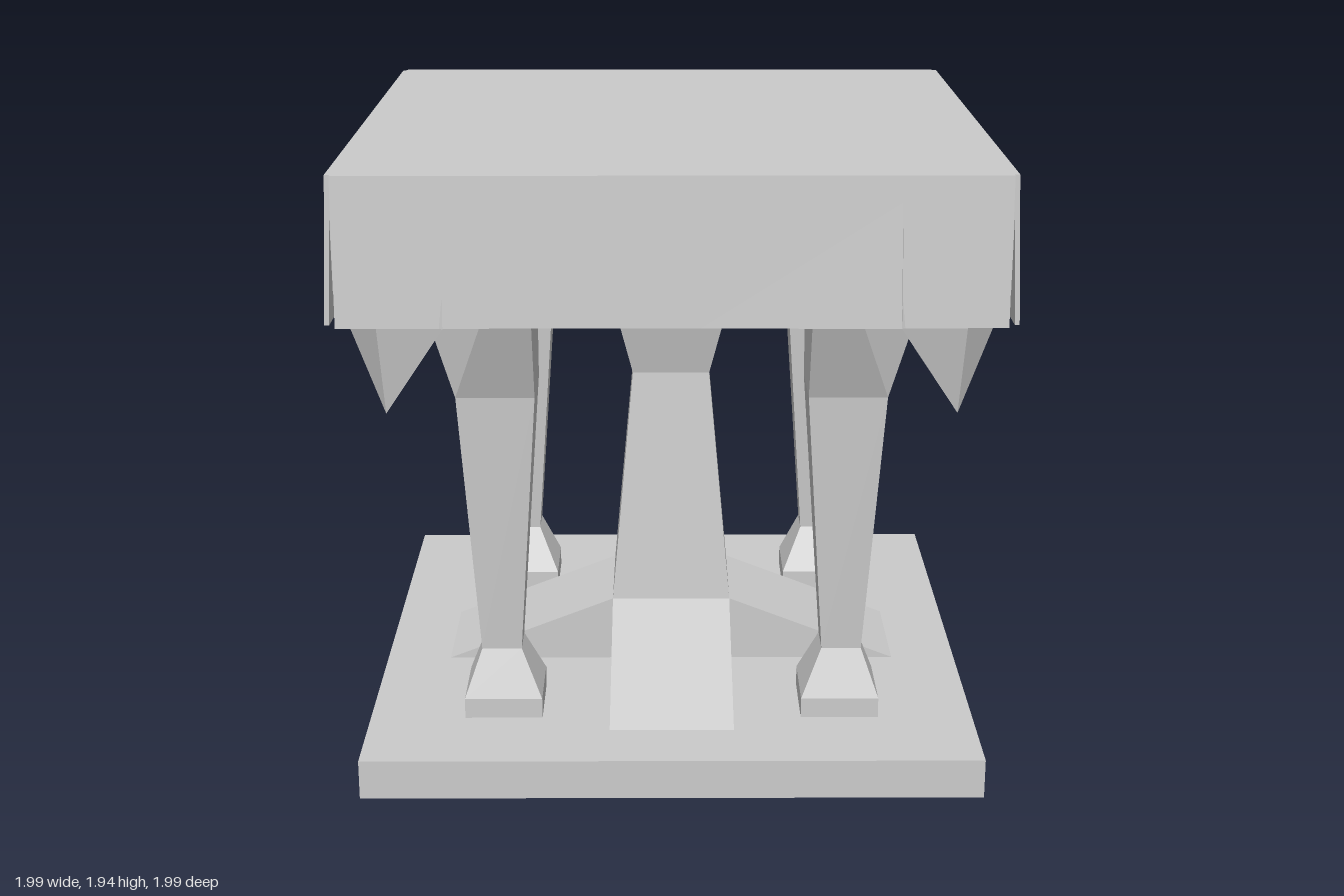
import * as THREE from 'three';

const material = new THREE.MeshStandardMaterial({ color: 0xcccccc, flatShading: true, side: THREE.DoubleSide });

function addPart(parent, name, geometry) {
  const mesh = new THREE.Mesh(geometry, material);
  mesh.name = name;
  parent.add(mesh);
  return mesh;
}

function box(width, y0, y1) {
  return new THREE.BoxGeometry(width, y1 - y0, width).translate(0, (y0 + y1) / 2, 0);
}

function fromTriangles(points) {
  const geometry = new THREE.BufferGeometry();
  geometry.setAttribute('position', new THREE.Float32BufferAttribute(points.flat(), 3));
  geometry.computeVertexNormals();
  return geometry;
}

// Walls between stacked rings of [x, z] points; skips zero-length sides
function loft(sections) {
  const tris = [];
  for (let s = 0; s < sections.length - 1; s++) {
    const [lo, hi] = [sections[s], sections[s + 1]].map(({ y, ring }) => ring.map(([x, z]) => [x, y, z]));
    for (let i = 0; i < lo.length; i++) {
      const j = (i + 1) % lo.length;
      const same = (p, q) => p[0] === q[0] && p[2] === q[2];
      if (!same(lo[i], lo[j])) tris.push(lo[i], lo[j], hi[j]);
      if (!same(hi[i], hi[j])) tris.push(lo[i], hi[j], hi[i]);
    }
  }
  return fromTriangles(tris);
}

const square = (r) => [[r, r], [r, -r], [-r, -r], [-r, r]];

// Leg section: inner edge, outer edge, and where the outer corner is cut
const legRing = (inner, outer, cut = outer) =>
  [[cut, outer], [outer, cut], [outer, inner], [inner, inner], [inner, outer]];

function legGeometry() {
  return loft([
    { y: 0.125, ring: legRing(0.41, 0.655) },
    { y: 0.19, ring: legRing(0.41, 0.655) },
    { y: 0.34, ring: legRing(0.475, 0.6) },
    { y: 1.19, ring: legRing(0.415, 0.655) },
    { y: 1.6, ring: legRing(0.415, 0.81, 0.51) },
  ]);
}

// Sloping foot of the central column
function rampGeometry() {
  const profile = new THREE.Shape([[0.15, 0.125], [0.745, 0.125], [0.195, 0.34], [0.15, 0.34]]
    .map(([x, y]) => new THREE.Vector2(x, y)));
  return new THREE.ExtrudeGeometry(profile, { depth: 0.39, bevelEnabled: false }).translate(0, 0, -0.195);
}

// Cloth side, leaning outward toward its hem
function panelGeometry() {
  const geometry = new THREE.BoxGeometry(1.91, 0.435, 0.014).translate(0, 1.7175, 0.963);
  const p = geometry.attributes.position;
  for (let i = 0; i < p.count; i++) if (p.getY(i) < 1.6) p.setZ(i, p.getZ(i) + 0.02);
  geometry.computeVertexNormals();
  return geometry;
}

// Pointed cloth corner, slightly folded along its middle
function cornerGeometry() {
  const tip = [0.84, 1.2, 0.84];
  const mid = [0.86, 1.5, 0.86], midTop = [0.85, 1.6, 0.85];
  const a = [0.65, 1.5, 0.997], aTop = [0.65, 1.6, 0.985];
  const b = [0.997, 1.5, 0.65], bTop = [0.985, 1.6, 0.65];
  return fromTriangles([
    a, tip, mid, mid, tip, b,
    a, mid, midTop, a, midTop, aTop,
    mid, b, bTop, mid, bTop, midTop,
  ]);
}

// Raised fold line on the cloth side above the pointed corner
function foldGeometry() {
  return fromTriangles([
    [0.65, 1.5, 0.997], [0.645, 1.86, 0.974], [0.08, 1.5, 0.99],
    [0.65, 1.5, 0.997], [0.655, 1.5, 0.985], [0.645, 1.86, 0.974],
  ]);
}

export function createModel() {
  const model = new THREE.Group();
  model.name = 'table';

  addPart(model, 'basePlate', box(1.91, 0, 0.125));
  addPart(model, 'tableTop', box(1.92, 1.6, 1.935));
  addPart(model, 'centralColumn', loft([
    [0.125, 0.195], [0.34, 0.195], [1.11, 0.125], [1.4, 0.195], [1.6, 0.445],
  ].map(([y, r]) => ({ y, ring: square(r) }))));

  // Everything else repeats at each quarter turn
  const parts = {
    leg: legGeometry(),
    columnFoot: rampGeometry(),
    clothSide: panelGeometry(),
    clothCorner: cornerGeometry(),
    clothFold: foldGeometry(),
  };
  for (let i = 0; i < 4; i++) {
    const quarter = new THREE.Group();
    quarter.name = 'quarter' + (i + 1);
    quarter.rotation.y = i * Math.PI / 2;
    for (const [name, geometry] of Object.entries(parts)) addPart(quarter, name, geometry);
    model.add(quarter);
  }
  return model;
}
